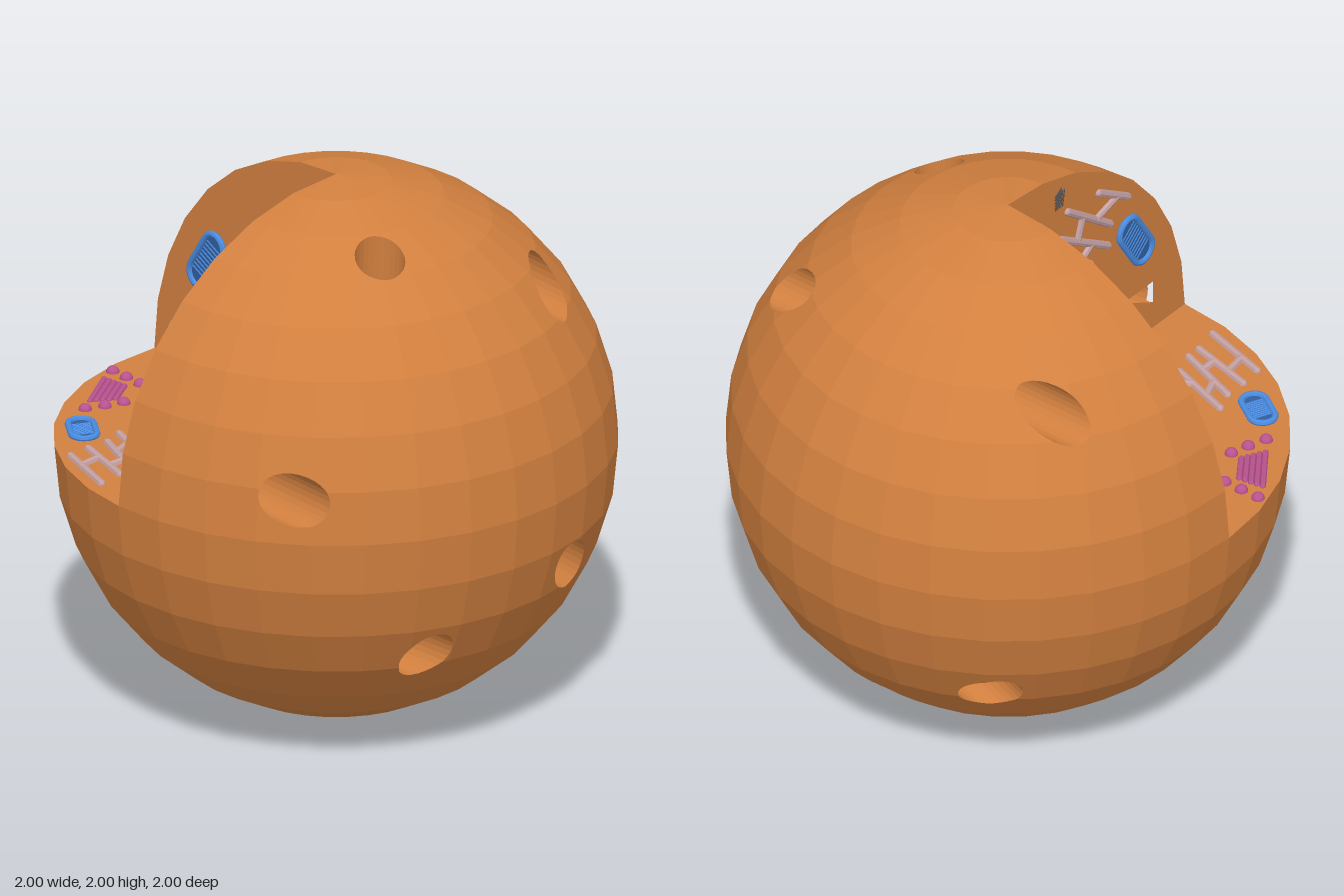
import * as THREE from 'three';

const V = (x, y, z) => new THREE.Vector3(x, y, z);
const mat = (color) => new THREE.MeshStandardMaterial({ color, flatShading: true });
const CELL = mat(0xd2803f), NUCLEUS = mat(0xc98a5e), CORE = mat(0xe0483a), BLUE = mat(0x4a8ade), NAVY = mat(0x2f5f9f),
  LILAC = mat(0xcfa9c6), GREEN = mat(0x70d062), RETICULUM = mat(0xc4a0a2), MAGENTA = mat(0xb9528f), GREY = mat(0x55504f);

// ---- convex polygon clipping ----
function clip(poly, plane, sign) {
  const out = [];
  poly.forEach((p, i) => {
    const q = poly[(i + 1) % poly.length];
    const dp = sign * plane.distanceToPoint(p), dq = sign * plane.distanceToPoint(q);
    if (dp >= -1e-7) out.push(p);
    if ((dp > 1e-7 && dq < -1e-7) || (dp < -1e-7 && dq > 1e-7)) out.push(p.clone().lerp(q, dp / (dp - dq)));
  });
  return out;
}
function area(poly) {
  const sum = V(0, 0, 0);
  for (let i = 1; i < poly.length - 1; i++) {
    sum.add(poly[i].clone().sub(poly[0]).cross(poly[i + 1].clone().sub(poly[0])));
  }
  return sum.length() / 2;
}
const solid = (poly) => poly.length > 2 && area(poly) > 1e-8;
function inside(poly, planes) {
  for (const pl of planes) {
    poly = clip(poly, pl, -1);
    if (!solid(poly)) return null;
  }
  return poly;
}
function subtract(polys, planes) {
  return polys.flatMap((poly) => {
    if (!inside(poly, planes)) return [poly];
    const kept = [];
    for (const pl of planes) {
      const o = clip(poly, pl, 1);
      if (solid(o)) kept.push(o);
      poly = clip(poly, pl, -1);
      if (!solid(poly)) break;
    }
    return kept;
  });
}
function facing(poly, normal) {
  const n = new THREE.Plane().setFromCoplanarPoints(poly[0], poly[1], poly[2]).normal;
  return n.dot(normal) < 0 ? poly.slice().reverse() : poly;
}

// Convex prism used as a cutter; walls face its own axis
function prism(ring, shift, lined = true) {
  const mid = ring.reduce((s, p) => s.add(p), V(0, 0, 0)).divideScalar(ring.length);
  const far = ring.map((p) => p.clone().add(shift)), d = shift.clone().normalize();
  const planes = [], walls = [];
  ring.forEach((p, i) => {
    const j = (i + 1) % ring.length;
    const n = ring[j].clone().sub(p).cross(d).normalize();
    if (n.dot(p.clone().sub(mid)) < 0) n.negate();
    planes.push(new THREE.Plane().setFromNormalAndCoplanarPoint(n, p));
    walls.push(facing([p, ring[j], far[j], far[i]], n.clone().negate()));
  });
  planes.push(new THREE.Plane().setFromNormalAndCoplanarPoint(d, far[0]));
  planes.push(new THREE.Plane().setFromNormalAndCoplanarPoint(d.clone().negate(), ring[0]));
  walls.push(facing(far, d.clone().negate()));
  return { planes, walls: lined ? walls : [] };
}
// Elliptical bore from a to b, optionally lengthened at both ends
function bore(a, b, rx, ry, extra = 0, sides = 28) {
  const d = b.clone().sub(a).normalize();
  const s = (Math.abs(d.y) > 0.9 ? V(0, 0, 1) : V(0, 1, 0)).cross(d).normalize(), t = d.clone().cross(s);
  const start = a.clone().addScaledVector(d, -extra);
  const ring = Array.from({ length: sides }, (_, i) => {
    const k = (i / sides) * Math.PI * 2;
    return start.clone().addScaledVector(s, rx * Math.cos(k)).addScaledVector(t, ry * Math.sin(k));
  });
  return prism(ring, d.multiplyScalar(a.distanceTo(b) + extra * 2));
}

// Faceted ball at c with its (-x, +y, -z) octant removed, then bored by the cutters
function cutBall(c, r, cols, rows, cutters) {
  const at = (i, j) => V(0, 0, 0).setFromSphericalCoords(r, (j / rows) * Math.PI, (i / cols) * Math.PI * 2).add(c);
  const shell = [], hull = [];
  for (let j = 0; j < rows; j++) for (let i = 0; i < cols; i++) {
    const q = [at(i, j), at(i, j + 1), at(i + 1, j + 1), at(i + 1, j)];
    if (j === 0) q.pop();
    if (j === rows - 1) q.splice(1, 1);
    const mid = q.reduce((s, p) => s.add(p), V(0, 0, 0)).divideScalar(q.length);
    const f = facing(q, mid.sub(c));
    shell.push(f);
    hull.push(new THREE.Plane().setFromCoplanarPoints(f[0], f[1], f[2]));
  }
  const axes = [V(1, 0, 0), V(0, -1, 0), V(0, 0, 1)];
  const octant = axes.map((n) => new THREE.Plane().setFromNormalAndCoplanarPoint(n, c));
  const faces = axes.map((n, k) => {
    const a = axes[(k + 1) % 3].clone().multiplyScalar(-r), b = axes[(k + 2) % 3].clone().multiplyScalar(-r);
    return facing([c.clone(), c.clone().add(a), c.clone().add(a).add(b), c.clone().add(b)], n.clone().negate());
  });
  let polys = subtract(shell, octant).concat(faces.map((f) => inside(f, hull)));
  cutters.forEach((k) => { polys = subtract(polys, k.planes); });
  cutters.forEach((k) => {
    let w = subtract(k.walls.map((f) => inside(f, hull)).filter(Boolean), octant);
    cutters.forEach((o) => { if (o !== k) w = subtract(w, o.planes); });
    polys.push(...w);
  });
  const pos = [];
  for (const p of polys) for (let i = 1; i < p.length - 1; i++) {
    for (const v of [p[0], p[i], p[i + 1]]) pos.push(v.x, v.y, v.z);
  }
  const g = new THREE.BufferGeometry();
  g.setAttribute('position', new THREE.Float32BufferAttribute(pos, 3));
  g.computeVertexNormals();
  return g;
}

function add(parent, name, geo, material, x = 0, y = 0, z = 0) {
  const m = new THREE.Mesh(geo, material);
  m.name = name;
  m.position.set(x, y, z);
  parent.add(m);
  return m;
}
// Round-ended rod lying in a wall plane, from (u1, v1) to (u2, v2)
function rod(parent, name, [u1, v1, u2, v2], r, material) {
  const du = u2 - u1, dv = v2 - v1;
  const m = add(parent, name, new THREE.CapsuleGeometry(r, Math.hypot(du, dv), 4, 8), material, (u1 + u2) / 2, (v1 + v2) / 2);
  m.rotation.z = Math.atan2(-du, dv);
}
function blob(parent, name, material, u, v, ru, rv, rw) {
  add(parent, name, new THREE.SphereGeometry(1, 18, 14), material, u, v).scale.set(ru, rv, rw);
}
// Folded membranes joined by short bridges
function reticulum(parent, rods) {
  rods.forEach((a, i) => {
    rod(parent, 'reticulumFold', a, 0.015, RETICULUM);
    const b = rods[i + 1], k = i % 2 ? 0.35 : 0.65;
    const on = (q, t) => [q[0] + (q[2] - q[0]) * t, q[1] + (q[3] - q[1]) * t];
    if (b) rod(parent, 'reticulumBridge', [...on(a, k), ...on(b, k)], 0.015, RETICULUM);
  });
}
// Capsule outline with inner cross ridges
function mitochondrion(parent, u, v, angle, half, r) {
  const g = new THREE.Group();
  g.name = 'mitochondrion';
  g.position.set(u, v, 0);
  g.rotation.z = angle;
  parent.add(g);
  const s = half - r, shape = new THREE.Shape();
  shape.absarc(0, s, r, 0, Math.PI).absarc(0, -s, r, Math.PI, Math.PI * 2).closePath();
  add(g, 'mitochondrionBase', new THREE.ExtrudeGeometry(shape, { depth: 0.006, bevelEnabled: false }), NAVY);
  const path = new THREE.CatmullRomCurve3(shape.getSpacedPoints(28).slice(0, -1).map((p) => V(p.x, p.y, 0.006)), true);
  add(g, 'mitochondrionRim', new THREE.TubeGeometry(path, 48, 0.012, 8, true), BLUE);
  for (let i = -4; i <= 4; i++) {
    const y = (i / 4) * s;
    rod(g, 'mitochondrionRidge', [-r * 0.7, y - 0.005, r * 0.7, y + 0.005], 0.008, BLUE);
  }
}
// Small cluster of crossed tubes
function centriole(parent, u, v) {
  for (let i = -2; i <= 2; i++) {
    rod(parent, 'centrioleTube', [u - 0.02, v + i * 0.012, u + 0.012, v + i * 0.012 + 0.02], 0.004, GREY);
    rod(parent, 'centrioleTube', [u + i * 0.01, v - 0.035, u + i * 0.01 + 0.01, v + 0.03], 0.003, GREY);
  }
}

export function createModel() {
  const model = new THREE.Group();
  model.name = 'cell';
  const body = new THREE.Group();
  body.name = 'cellBody';
  body.position.y = 1;
  model.add(body);

  // Cell body with its bores
  const through = (a, b) => bore(a, b, 0.086, 0.096, 0.3);
  const notch = prism([V(-0.82, 0.2, 0.02), V(-0.65, 0.2, 0.02), V(-0.82, 0.11, 0.02)], V(0, 0, -0.04), false);
  add(body, 'cellMembrane', cutBall(V(0, 0, 0), 1, 32, 16, [
    through(V(0.48, 0.63, 0.61), V(0.48, 0.63, -0.61)),
    through(V(-0.26, -0.51, 0.82), V(-0.41, -0.51, -0.76)),
    through(V(0.34, -0.3, 0.89), V(0.7, -0.52, -0.5)),
    through(V(0.61, -0.78, -0.03), V(-0.55, -0.79, -0.28)),
    bore(V(-0.73, 0.16, 1), V(-0.73, 0.16, 0.004), 0.086, 0.096),
    bore(V(-0.17, 1.1, 0.46), V(-0.17, 0.45, 0.42), 0.09, 0.09),
    notch,
  ]), CELL);

  // Nucleus with pores, and the core inside it
  const c = V(-0.09, 0.05, -0.14);
  const pore = (x, y, z) => {
    const d = V(x, y, z).normalize();
    return bore(c.clone().addScaledVector(d, 0.6), c.clone().addScaledVector(d, 0.34), 0.028, 0.034, 0, 14);
  };
  add(body, 'nucleus', cutBall(c, 0.45, 32, 20, [
    pore(-0.26, 0.36, 0.08), pore(-0.42, 0.14, 0.08), pore(0.06, 0.4, -0.2),
    bore(V(-0.42, 0.12, -0.2), V(-0.42, 0.12, -0.06), 0.034, 0.034, 0, 14),
  ]), NUCLEUS);
  add(body, 'nucleolus', new THREE.SphereGeometry(0.21, 32, 20), CORE, c.x, c.y, c.z);

  const wall = (name, rx, ry) => {
    const g = new THREE.Group();
    g.name = name;
    g.rotation.set(rx, ry, 0);
    body.add(g);
    return g;
  };

  // Floor: u = x, v = -z
  const floor = wall('floorOrganelles', -Math.PI / 2, 0);
  for (let i = 0; i < 5; i++) {
    const t = i / 4;
    rod(floor, 'golgiFold', [-0.48 + 0.08 * t, 0.78 - 0.045 * t, -0.315 + 0.015 * t, 0.9 - 0.095 * t], 0.011, MAGENTA);
  }
  for (const [u, v] of [[-0.25, 0.93], [-0.25, 0.855], [-0.25, 0.78], [-0.54, 0.735], [-0.47, 0.71], [-0.4, 0.69]]) {
    blob(floor, 'golgiVesicle', MAGENTA, u, v, 0.024, 0.024, 0.024);
  }
  blob(floor, 'lysosome', GREEN, -0.26, 0.645, 0.052, 0.042, 0.042);
  mitochondrion(floor, -0.665, 0.6, -0.57, 0.09, 0.046);
  reticulum(floor, [[-0.92, 0.19, -0.845, 0.45], [-0.818, 0.21, -0.755, 0.46], [-0.76, 0.21, -0.667, 0.46],
    [-0.67, 0.24, -0.587, 0.49], [-0.61, 0.15, -0.566, 0.33]]);

  // Wall facing back: u = -x, v = y
  const back = wall('backWallOrganelles', 0, Math.PI);
  blob(back, 'vacuole', LILAC, 0.145, 0.745, 0.07, 0.085, 0.07);
  centriole(back, 0.288, 0.857);
  mitochondrion(back, 0.714, 0.444, 0.56, 0.125, 0.053);
  reticulum(back, [[0.51, 0.763, 0.675, 0.654], [0.334, 0.78, 0.576, 0.591], [0.295, 0.68, 0.563, 0.504],
    [0.28, 0.594, 0.465, 0.478], [0.308, 0.506, 0.53, 0.33]]);

  // Wall facing the right side: u = z, v = y
  const side = wall('sideWallOrganelles', 0, -Math.PI / 2);
  mitochondrion(side, -0.706, 0.435, -0.58, 0.125, 0.053);
  blob(side, 'vacuole', LILAC, -0.664, 0.147, 0.065, 0.085, 0.055);
  blob(side, 'lysosome', GREEN, -0.86, 0.107, 0.045, 0.058, 0.045);
  centriole(side, -0.3, 0.533);
  return model;
}
